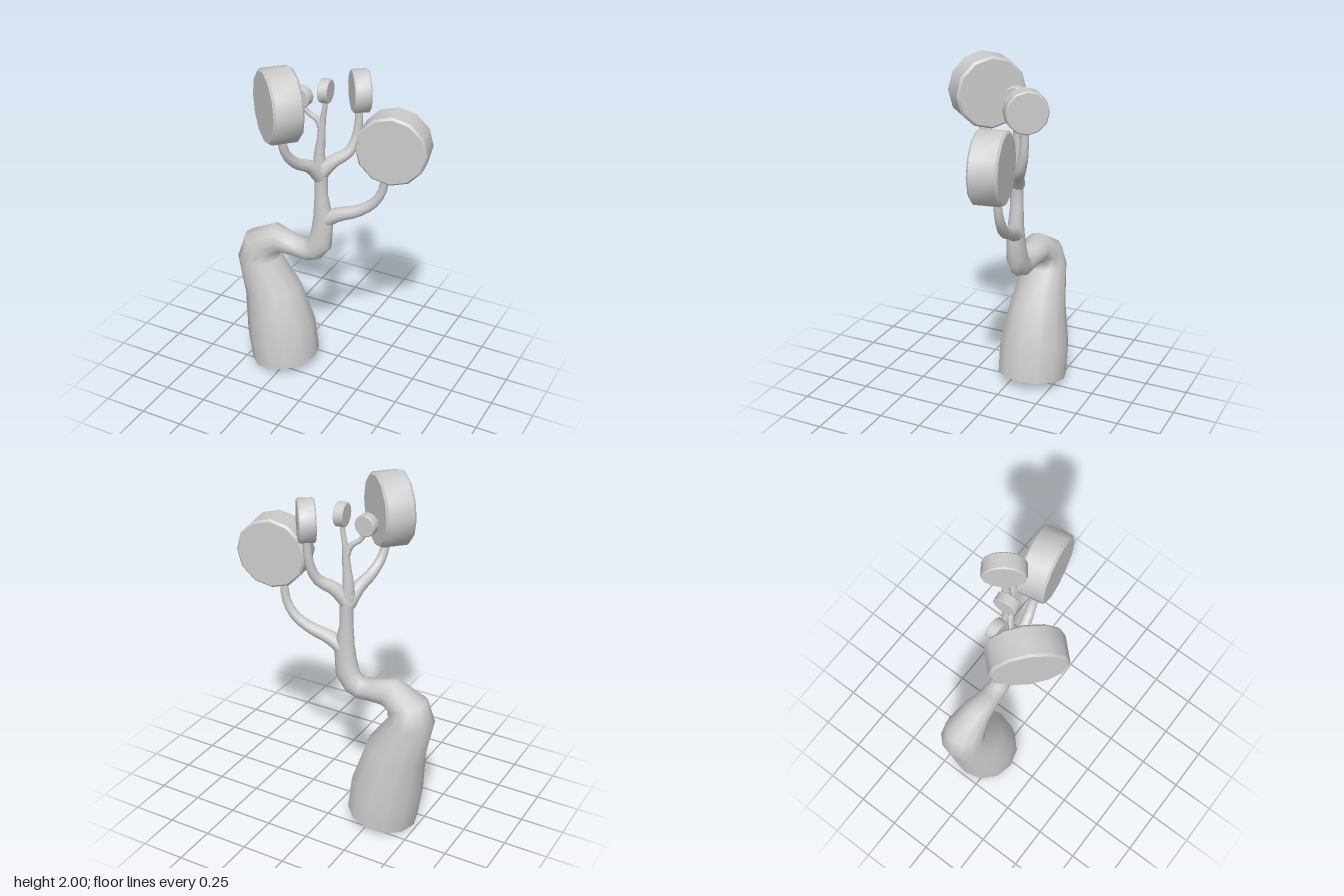
import * as THREE from 'three';
import { toCreasedNormals } from 'three/addons/utils/BufferGeometryUtils.js';

const material = new THREE.MeshStandardMaterial({ color: 0xcccccc, side: THREE.DoubleSide });
const V = (x, y, z) => new THREE.Vector3(x, y, z);

// Smooth skin over elliptical rings { c: centre, u, v: half axes }
function loft(rings, sides) {
  const pos = [], index = [];
  rings.forEach(({ c, u, v }, i) => {
    for (let j = 0; j < sides; j++) {
      const a = (j / sides) * Math.PI * 2;
      const p = c.clone().addScaledVector(u, Math.cos(a)).addScaledVector(v, Math.sin(a));
      pos.push(p.x, p.y, p.z);
      if (i === rings.length - 1) continue;
      const k = (j + 1) % sides, lo = i * sides, hi = lo + sides;
      index.push(lo + j, hi + j, lo + k, lo + k, hi + j, hi + k);
    }
  });
  const geo = new THREE.BufferGeometry();
  geo.setAttribute('position', new THREE.Float32BufferAttribute(pos, 3));
  geo.setIndex(index);
  geo.computeVertexNormals();
  return geo;
}

// Tapered limb along a curve
function limb(points, r0, r1) {
  const curve = new THREE.CatmullRomCurve3(points.map((p) => V(...p)));
  const n = 12, frames = curve.computeFrenetFrames(n);
  const rings = [];
  for (let i = 0; i <= n; i++) {
    // quick flare at the root, gentle taper after it
    const r = r1 + (r0 - r1) * Math.pow(1 - i / n, 1.6);
    rings.push({
      c: curve.getPointAt(i / n),
      u: frames.normals[i].clone().multiplyScalar(r),
      v: frames.binormals[i].clone().multiplyScalar(-r),
    });
  }
  return loft(rings, 10);
}

// Twelve-sided foliage disc with a small bevel, axis along z
function disc(radius, depth) {
  const b = radius * 0.06, h = depth / 2;
  const profile = [[0, -h], [radius - b, -h], [radius, -h + b], [radius, h - b], [radius - b, h], [0, h]];
  const geo = new THREE.LatheGeometry(profile.map(([x, y]) => new THREE.Vector2(x, y)), 12);
  return toCreasedNormals(geo.rotateX(Math.PI / 2), 0.65);
}

export function createModel() {
  const group = new THREE.Group();
  const add = (name, geo) => {
    const mesh = new THREE.Mesh(geo, material);
    mesh.name = name;
    group.add(mesh);
    return mesh;
  };

  // Trunk: outer edge x, y, inner edge x, y, half depth; open at the base
  const trunk = [
    [-0.48, 0.005, -0.08, 0.075, 0.205],
    [-0.51, 0.2, -0.105, 0.28, 0.205],
    [-0.525, 0.45, -0.19, 0.52, 0.162],
    [-0.575, 0.69, -0.32, 0.7, 0.13],
    [-0.53, 0.83, -0.31, 0.75, 0.112],
    [-0.35, 0.925, -0.275, 0.76, 0.085],
    [-0.21, 0.885, -0.2, 0.757, 0.066],
    [-0.145, 0.87, -0.115, 0.75, 0.06],
    [-0.11, 0.91, -0.045, 0.775, 0.058],
    [-0.095, 0.985, 0.022, 0.86, 0.056],
    [-0.085, 1.06, 0.035, 1.04, 0.046],
    [-0.075, 1.2, -0.002, 1.19, 0.038],
    [-0.078, 1.3, 0.0, 1.3, 0.036],
    [-0.09, 1.37, 0.015, 1.37, 0.036],
    [-0.06, 1.41, -0.02, 1.41, 0.015],
  ];
  add('trunk', loft(trunk.map(([x0, y0, x1, y1, d]) => ({
    c: V((x0 + x1) / 2, (y0 + y1) / 2, -0.1),
    u: V((x1 - x0) / 2, (y1 - y0) / 2, 0),
    v: V(0, 0, d),
  })), 12));

  // Branches
  add('lowBranch', limb([[-0.03, 1.03, -0.1], [0.06, 1.085, -0.11], [0.17, 1.125, -0.13],
    [0.26, 1.19, -0.15], [0.31, 1.28, -0.155], [0.325, 1.42, -0.15]], 0.048, 0.022));
  add('frontBranch', limb([[-0.045, 1.31, -0.1], [-0.075, 1.39, -0.03], [-0.105, 1.44, 0.06],
    [-0.13, 1.52, 0.13], [-0.145, 1.65, 0.165]], 0.045, 0.023));
  add('backBranch', limb([[-0.04, 1.33, -0.1], [0.02, 1.4, -0.13], [0.09, 1.45, -0.175],
    [0.122, 1.55, -0.21], [0.13, 1.72, -0.222]], 0.045, 0.021));
  add('middleBranch', limb([[-0.045, 1.33, -0.1], [-0.05, 1.42, -0.1], [-0.04, 1.53, -0.1],
    [-0.033, 1.64, -0.1]], 0.042, 0.02));
  add('innerTwig', limb([[-0.036, 1.58, -0.1], [-0.03, 1.65, -0.1], [-0.018, 1.72, -0.1],
    [-0.012, 1.79, -0.1]], 0.02, 0.013));
  add('outerTwig', limb([[-0.037, 1.59, -0.1], [-0.06, 1.65, -0.09], [-0.11, 1.69, -0.075],
    [-0.138, 1.75, -0.067]], 0.02, 0.013));

  // Foliage: name, centre, radius, depth, facing in x and z
  const foliage = [
    ['frontFoliage', [-0.165, 1.8, 0.14], 0.203, 0.165, -0.69, 0.72],
    ['lowFoliage', [0.373, 1.56, -0.145], 0.198, 0.163, 0.18, 0.98],
    ['backFoliage', [0.13, 1.802, -0.225], 0.118, 0.093, 0.8, -0.58],
    ['outerTwigFoliage', [-0.14, 1.775, -0.067], 0.06, 0.054, -0.05, 1],
    ['innerTwigFoliage', [-0.012, 1.82, -0.1], 0.066, 0.054, 0.99, -0.13],
  ];
  for (const [name, centre, radius, depth, nx, nz] of foliage) {
    const mesh = add(name, disc(radius, depth));
    mesh.position.set(...centre);
    mesh.rotation.y = Math.atan2(nx, nz);
  }
  return group;
}
